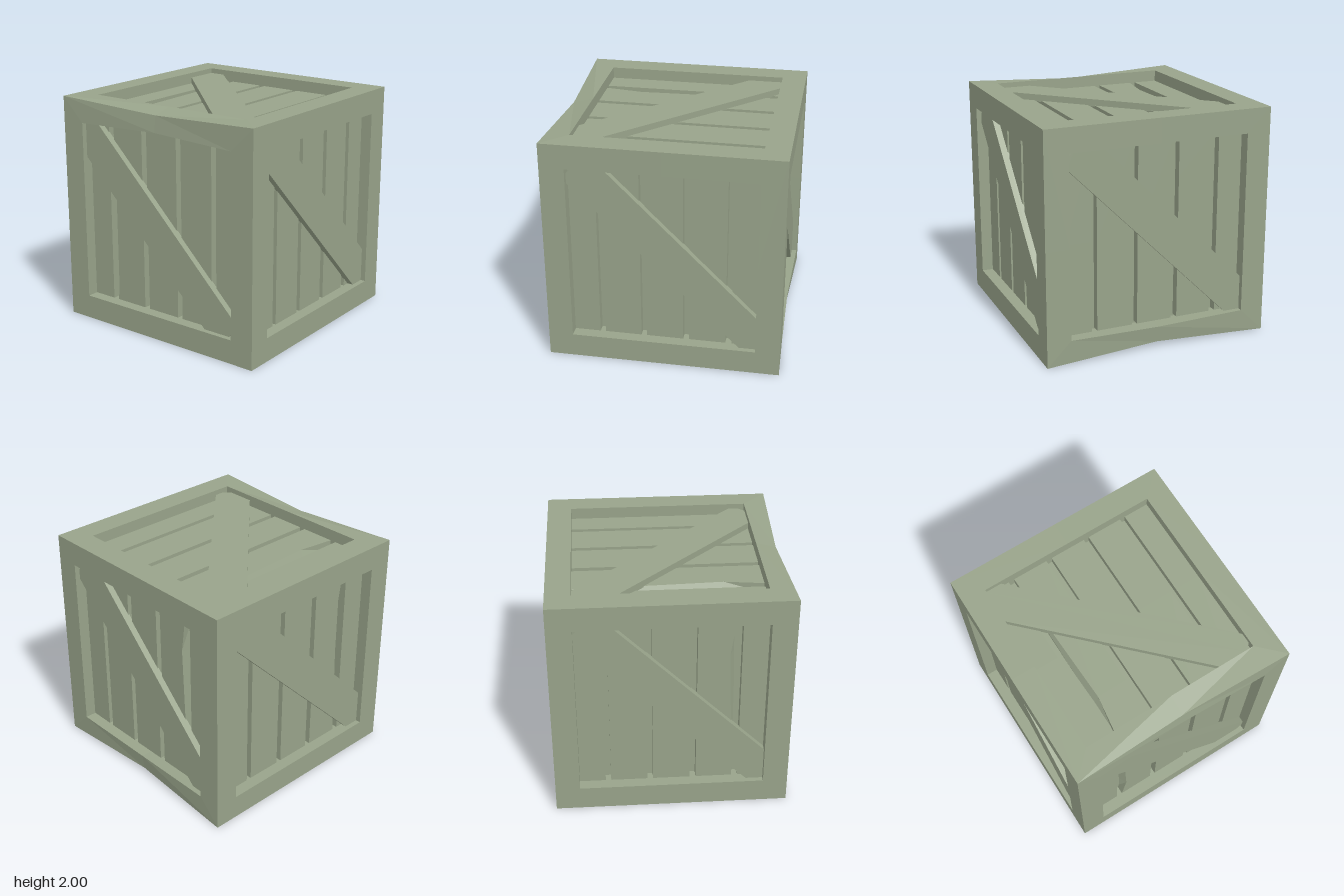
import * as THREE from 'three';

const OUT = 1;        // half size of the crate
const IN = 0.79;      // half size of the opening in each side
const FLOOR = 0.83;   // floor of the gaps between planks
const PLANK = 0.9;    // face of the planks
const BRACE = 0.955;  // face of the diagonal brace

const material = new THREE.MeshStandardMaterial({ color: 0x98a38a, flatShading: true });

function addMesh(parent, geometry, name) {
  const mesh = new THREE.Mesh(geometry, material);
  mesh.name = name;
  parent.add(mesh);
  return mesh;
}

// Visit every vertex and replace it by what the rule leaves in p
function reshape(geometry, rule) {
  const pos = geometry.attributes.position;
  const p = new THREE.Vector3();
  for (let i = 0; i < pos.count; i++) {
    rule(p.fromBufferAttribute(pos, i));
    pos.setXYZ(i, p.x, p.y, p.z);
  }
  geometry.computeVertexNormals();
  return geometry;
}

// Frame beam along z on the +x +y edge, mitred at its ends; a worn one is dented halfway
function beamGeometry(worn) {
  const w = OUT - IN;
  const geometry = new THREE.BoxGeometry(w, w, 2, 1, 1, 2);
  geometry.translate(IN + w / 2, IN + w / 2, 0);
  return reshape(geometry, (p) => {
    const outerX = p.x > 0.9, outerY = p.y > 0.9;
    if (Math.abs(p.z) > 0.5) {
      p.z = Math.sign(p.z) * Math.min(p.x, p.y);
    } else if (worn) {
      if (outerX && outerY) { p.x = 0.957; p.y = 0.962; }
      else if (outerY) { p.x = 0.815; p.y = 0.98; }
      else if (!outerX) p.x = 0.815;
    }
  });
}

function buildFrame() {
  const frame = new THREE.Group();
  frame.name = 'frame';
  const axes = [[0, 0, 0], [0, Math.PI / 2, 0], [Math.PI / 2, 0, 0]];
  axes.forEach((rotation, axis) => {
    const set = new THREE.Group();
    set.name = 'beamSet';
    set.rotation.set(...rotation);
    for (let k = 0; k < 4; k++) {
      const worn = axis === 0 && k % 2 === 1;
      addMesh(set, beamGeometry(worn), worn ? 'wornBeam' : 'beam').rotation.z = k * Math.PI / 2;
    }
    frame.add(set);
  });
  return frame;
}

// Upright plank; a chipped one has its front right edge split away
function plankGeometry(u0, u1, chipped) {
  const geometry = new THREE.BoxGeometry(u1 - u0, 2 * IN, PLANK - FLOOR + 0.02, 1, 2, 1);
  geometry.translate((u0 + u1) / 2, 0, (PLANK + FLOOR - 0.02) / 2);
  if (!chipped) return geometry;
  return reshape(geometry, (p) => {
    if (Math.abs(p.y) > 0.1) return;
    p.y = 0.46;
    if (p.x > u1 - 0.01 && p.z > FLOOR) p.x -= 0.047;
  });
}

// Diagonal brace clipped to the opening
function braceGeometry() {
  const outline = [
    [-0.735, IN], [-IN, 0.735], [-IN, 0.645], [0.645, -IN],
    [IN, -IN], [IN, -0.485], [-0.485, IN],
  ];
  const shape = new THREE.Shape(outline.map(([x, y]) => new THREE.Vector2(x, y)));
  const geometry = new THREE.ExtrudeGeometry(shape, { depth: BRACE - PLANK + 0.01, bevelEnabled: false });
  return geometry.translate(0, 0, PLANK - 0.01);
}

// One side: five planks and a brace, facing +z
function buildSide(name, chipped) {
  const side = new THREE.Group();
  side.name = name;
  const planks = [[-IN, -0.567], [-0.52, -0.205], [-0.157, 0.16], [0.212, 0.525], [0.577, IN]];
  planks.forEach(([u0, u1], i) => {
    addMesh(side, plankGeometry(u0, u1, chipped && i === 3), 'plank');
  });
  addMesh(side, braceGeometry(), 'brace');
  return side;
}

export function createModel() {
  const model = new THREE.Group();
  model.name = 'crate';
  const body = new THREE.Group();
  body.name = 'body';
  body.position.y = 1;
  model.add(body);

  addMesh(body, new THREE.BoxGeometry(2 * FLOOR, 2 * FLOOR, 2 * FLOOR), 'core');
  body.add(buildFrame());

  // name, turn about y, then turn about z, chipped plank
  const q = Math.PI / 2;
  const sides = [
    ['frontSide', 0, 0, false],
    ['backSide', 2 * q, 0, true],
    ['plusXSide', q, 0, true],
    ['topSide', q, q, true],
    ['minusXSide', q, 2 * q, true],
    ['bottomSide', q, -q, false],
  ];
  for (const [name, turnY, turnZ, chipped] of sides) {
    const side = buildSide(name, chipped);
    side.rotation.set(0, turnY, turnZ, 'XYZ');
    side.rotation.order = 'ZYX';
    body.add(side);
  }
  return model;
}
